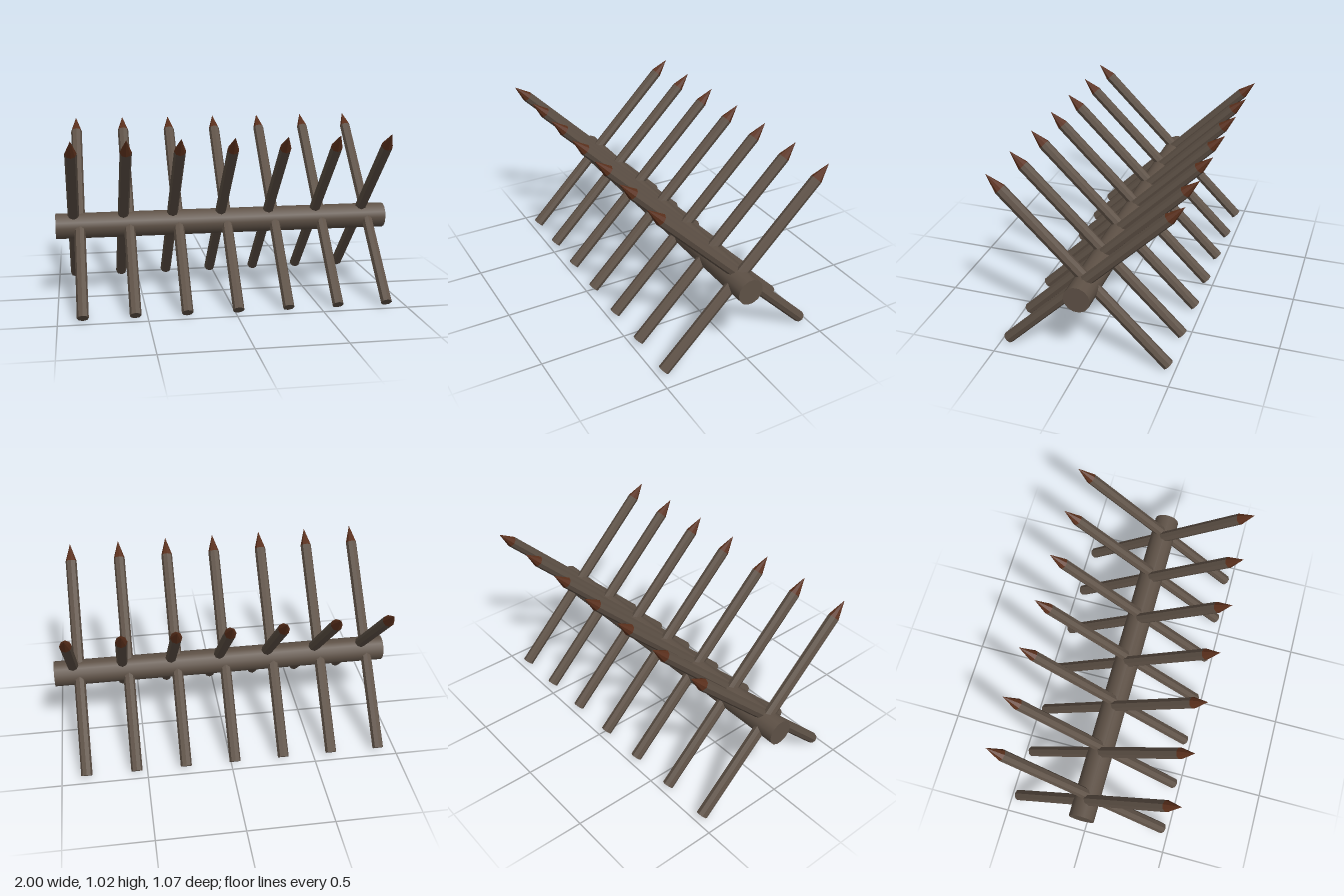
import * as THREE from 'three';

const STAKES = 7, SPACING = 0.2915, LOG_Y = 0.445, CROSSING_Y = 0.486;

export function createModel() {
  const group = new THREE.Group();
  group.name = 'spikedBarricade';

  const wood = new THREE.MeshStandardMaterial({ color: 0x5e5146 });
  wood.name = 'weathered wood';
  const rust = new THREE.MeshStandardMaterial({ color: 0x5a2f1b });
  rust.name = 'rusty brown tip';

  // Horizontal log along x, smoothly rounded
  const logGeometry = new THREE.CylinderGeometry(0.075, 0.075, 2, 14);
  logGeometry.rotateZ(Math.PI / 2);
  const log = new THREE.Mesh(logGeometry, wood);
  log.name = 'log';
  log.position.y = LOG_Y;
  group.add(log);

  // Gives a geometry hewn, flat facets
  function faceted(geometry) {
    const flat = geometry.toNonIndexed();
    flat.computeVertexNormals();
    return flat;
  }

  // Shared stake shaft and sharpened tip, measured from the crossing point
  const radius = 0.033, half = 0.649, tipLength = 0.108;
  const shaftGeometry = faceted(new THREE.CylinderGeometry(radius, radius, half * 2, 8));
  const tipGeometry = faceted(new THREE.ConeGeometry(radius, tipLength, 8));
  tipGeometry.translate(0, half + tipLength / 2, 0);

  function addStake(name, x, tilt) {
    const stake = new THREE.Group();
    stake.name = name;
    const shaft = new THREE.Mesh(shaftGeometry, wood);
    shaft.name = 'shaft';
    const tip = new THREE.Mesh(tipGeometry, rust);
    tip.name = 'tip';
    stake.add(shaft, tip);
    stake.position.set(x, CROSSING_Y, 0);
    stake.rotation.x = tilt;
    group.add(stake);
  }

  // Crossed pairs, side by side: one leans forward, one leans back
  for (let i = 0; i < STAKES; i++) {
    const x = (i - (STAKES - 1) / 2) * SPACING;
    addStake('forwardStake', x - 0.0205, Math.PI / 4);
    addStake('backwardStake', x + 0.0135, -Math.PI / 4);
  }
  return group;
}
